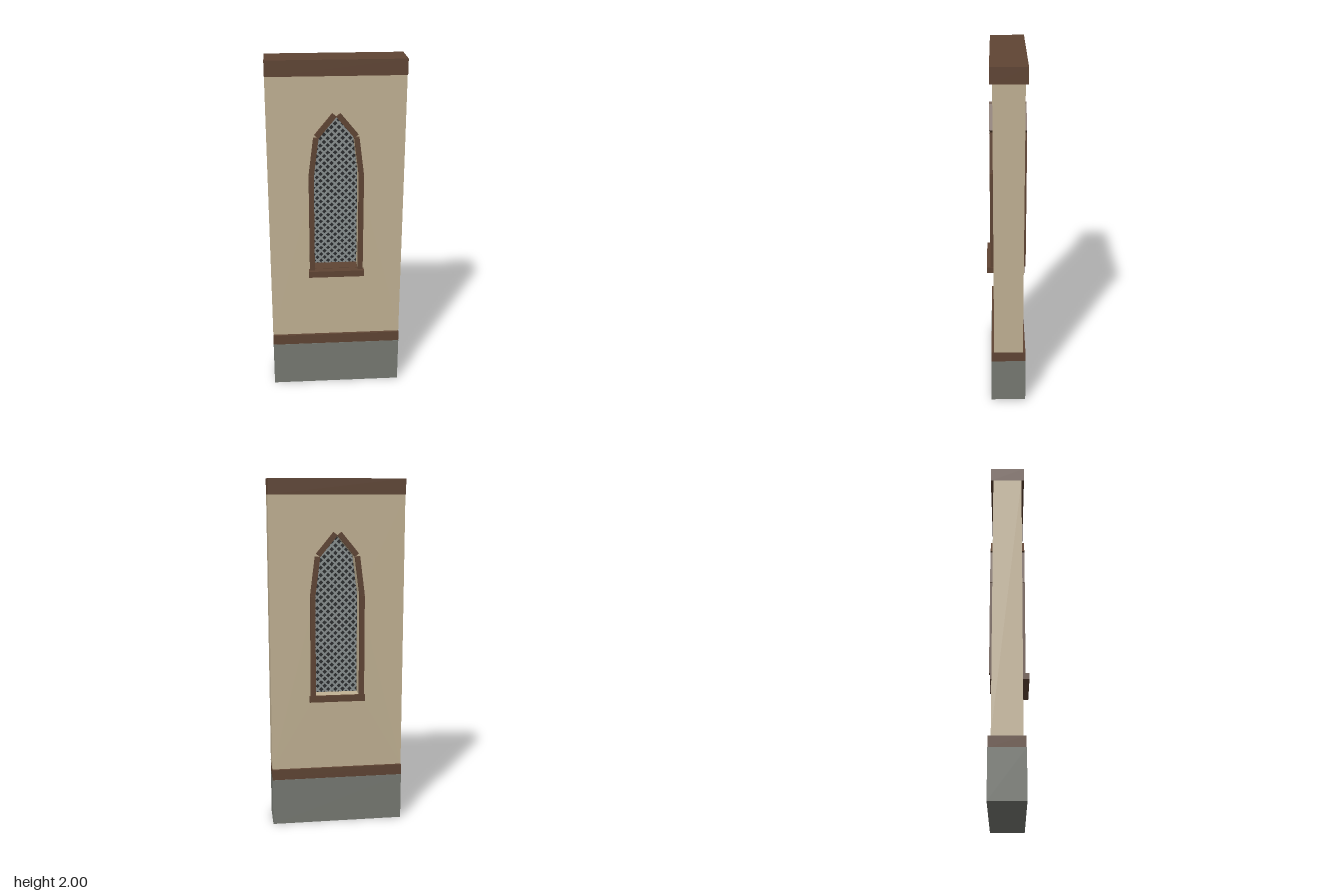
import * as THREE from 'three';

const mat = (name, color) => {
  const m = new THREE.MeshStandardMaterial({ color });
  m.name = name;
  return m;
};

export function createModel() {
  const plaster = mat('plaster', 0xc2b294);
  const timber = mat('timber', 0x604534);
  const stone = mat('stone', 0x777a73);
  const glass = mat('dark glass', 0x2a2c2e);
  const lead = mat('lead lattice', 0x8a9191);

  const group = new THREE.Group();
  group.name = 'wallWithWindow';
  const Z = -0.011; // middle plane of the wall
  const W = 0.766, DEPTH = 0.166;

  const add = (name, geo, material, x, y, z, rot = 0, parent = group) => {
    const m = new THREE.Mesh(geo, material);
    m.name = name;
    m.position.set(x, y, z);
    m.rotation.z = rot;
    parent.add(m);
    return m;
  };
  const slab = (name, material, w, y0, y1, z0, z1) =>
    add(name, new THREE.BoxGeometry(w, y1 - y0, z1 - z0), material, 0, (y0 + y1) / 2, (z0 + z1) / 2);

  // Right half of the pointed opening, bottom to apex
  const half = [[0.126, 0.773], [0.126, 1.353], [0.098, 1.572], [0, 1.691]];
  const outline = [...half, ...half.slice(0, 3).reverse().map(([x, y]) => [-x, y])]
    .map(([x, y]) => new THREE.Vector2(x, y));

  // Footing and horizontal beams
  slab('stoneBase', stone, W, 0, 0.273, Z - 0.1, Z + 0.1);
  slab('lowerBeam', timber, W, 0.273, 0.334, Z - 0.098, Z + 0.098);
  slab('topBeam', timber, W, 1.913, 2, Z - 0.098, Z + 0.098);

  // Plaster wall with the opening cut through
  const wall = new THREE.Shape([[-W / 2, 0.334], [W / 2, 0.334], [W / 2, 1.913], [-W / 2, 1.913]]
    .map(([x, y]) => new THREE.Vector2(x, y)));
  wall.holes.push(new THREE.Path(outline));
  add('wall', new THREE.ExtrudeGeometry(wall, { depth: DEPTH, bevelEnabled: false }), plaster, 0, 0, Z - DEPTH / 2);

  // Window frames: straight timbers along the opening, front and back
  const T = 0.029, FD = 0.019;
  for (const side of [1, -1]) {
    const frame = new THREE.Group();
    frame.name = side > 0 ? 'frontFrame' : 'backFrame';
    group.add(frame);
    for (let i = 0; i < 3; i++) {
      const [x0, y0] = half[i], [x1, y1] = half[i + 1];
      const len = Math.hypot(x1 - x0, y1 - y0);
      const nx = (y1 - y0) / len, ny = (x0 - x1) / len;
      const cx = (x0 + x1) / 2 + nx * T / 2, cy = (y0 + y1) / 2 + ny * T / 2;
      const rot = Math.atan2(ny, nx);
      for (const s of [1, -1]) {
        add('frameTimber', new THREE.BoxGeometry(T, len, FD), timber,
          s * cx, cy, Z + side * (DEPTH + FD) / 2, s * rot, frame);
      }
    }
  }

  // Sills: the front one projects further; a board lines the front of the opening
  slab('frontSill', timber, 0.322, 0.735, 0.773, Z + DEPTH / 2, 0.112);
  slab('backSill', timber, 0.322, 0.735, 0.773, -0.107, Z - DEPTH / 2);
  slab('innerSill', timber, 0.252, 0.765, 0.775, Z, Z + DEPTH / 2);

  // Dark pane in the middle of the wall
  add('pane', new THREE.ExtrudeGeometry(new THREE.Shape(outline), { depth: 0.006, bevelEnabled: false }),
    glass, 0, 0, Z - 0.003);

  // Clip the line p + t*d to the convex opening
  const clip = (p, d) => {
    let t0 = -9, t1 = 9;
    outline.forEach((a, i) => {
      const e = outline[(i + 1) % outline.length].clone().sub(a);
      const dist = e.x * (p.y - a.y) - e.y * (p.x - a.x);
      const rate = e.x * d.y - e.y * d.x;
      if (rate > 0) t0 = Math.max(t0, -dist / rate);
      else t1 = Math.min(t1, -dist / rate);
    });
    return [t0, t1];
  };

  // Diagonal lattice on both faces of the pane
  const lattice = new THREE.Group();
  lattice.name = 'lattice';
  group.add(lattice);
  const STEP = 0.042;
  for (const s of [1, -1]) {
    const d = new THREE.Vector2(s, 1).normalize();
    for (let i = -14; i <= 14; i++) {
      const p = new THREE.Vector2(0, 1.23 + i * STEP);
      const [t0, t1] = clip(p, d);
      if (t1 - t0 < 0.012) continue;
      const c = p.clone().addScaledVector(d, (t0 + t1) / 2);
      add('latticeBar', new THREE.BoxGeometry(t1 - t0, 0.011, 0.012), lead, c.x, c.y, Z, s * Math.PI / 4 + (s < 0 ? Math.PI : 0), lattice);
    }
  }
  return group;
}
